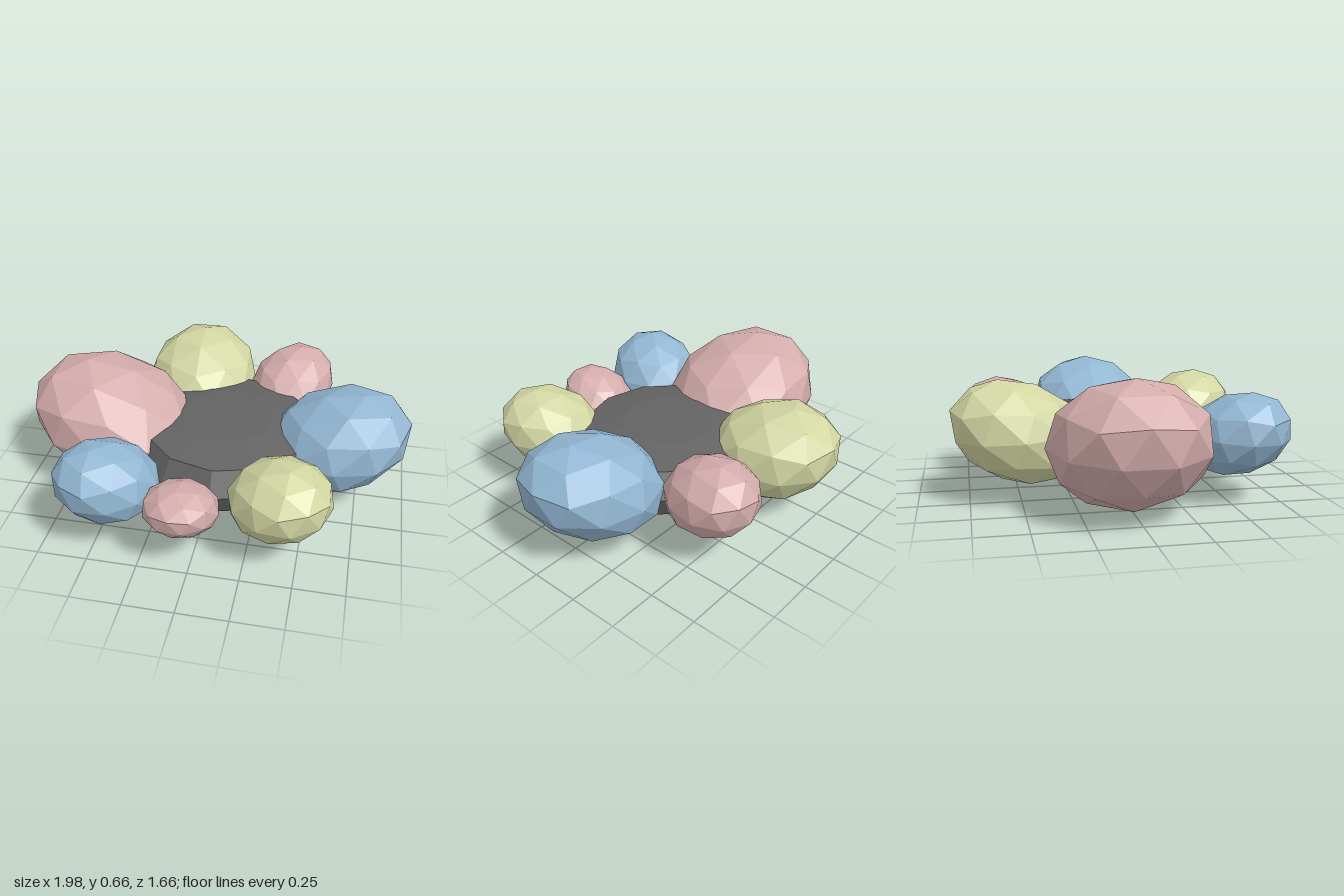
import * as THREE from 'three';

const PINK = 0xd4acac, BLUE = 0x92b6d2, YELLOW = 0xd2d6a2, DARK = 0x636363;

function flat(color) {
  return new THREE.MeshStandardMaterial({ color, flatShading: true });
}

// Faceted ellipsoid petal: radii are [outward, up, sideways]; the outer end tips up.
function petal(name, color, centre, radii, heading, tilt = 20) {
  const geo = new THREE.IcosahedronGeometry(1, 1);
  geo.scale(...radii);
  geo.rotateZ(THREE.MathUtils.degToRad(tilt));
  geo.rotateY(THREE.MathUtils.degToRad(heading));
  const mesh = new THREE.Mesh(geo, flat(color));
  mesh.name = name;
  mesh.position.set(...centre);
  return mesh;
}

export function createModel() {
  const model = new THREE.Group();
  model.name = 'petalRing';

  // Flat, gently domed centre
  const profile = [
    [0, 0.075], [0.26, 0.09], [0.45, 0.145], [0.51, 0.27],
    [0.44, 0.39], [0.24, 0.425], [0, 0.435],
  ].map(([r, y]) => new THREE.Vector2(r, y));
  const centre = new THREE.Mesh(new THREE.LatheGeometry(profile, 12), flat(DARK));
  centre.name = 'centre';
  centre.position.set(0.06, 0, 0);
  model.add(centre);

  // Heading 0 points to +x, 90 to the back (-z), 180 to -x, 270 to the front
  model.add(
    petal('largeSidePetal', PINK, [-0.55, 0.333, -0.02], [0.466, 0.307, 0.395], 180),
    petal('wideSidePetal', BLUE, [0.63, 0.34, -0.025], [0.383, 0.251, 0.335], 0),
    petal('backPetal', YELLOW, [-0.18, 0.34, -0.5], [0.355, 0.25, 0.31], 92),
    petal('backCornerPetal', PINK, [0.335, 0.34, -0.51], [0.28, 0.195, 0.225], 65),
    petal('frontLeftPetal', YELLOW, [0.4, 0.34, 0.52], [0.275, 0.2, 0.25], 305),
    petal('frontRightPetal', BLUE, [-0.435, 0.34, 0.54], [0.275, 0.2, 0.245], 232),
    petal('smallFrontPetal', PINK, [-0.05, 0.305, 0.63], [0.21, 0.13, 0.185], 265),
  );
  return model;
}
